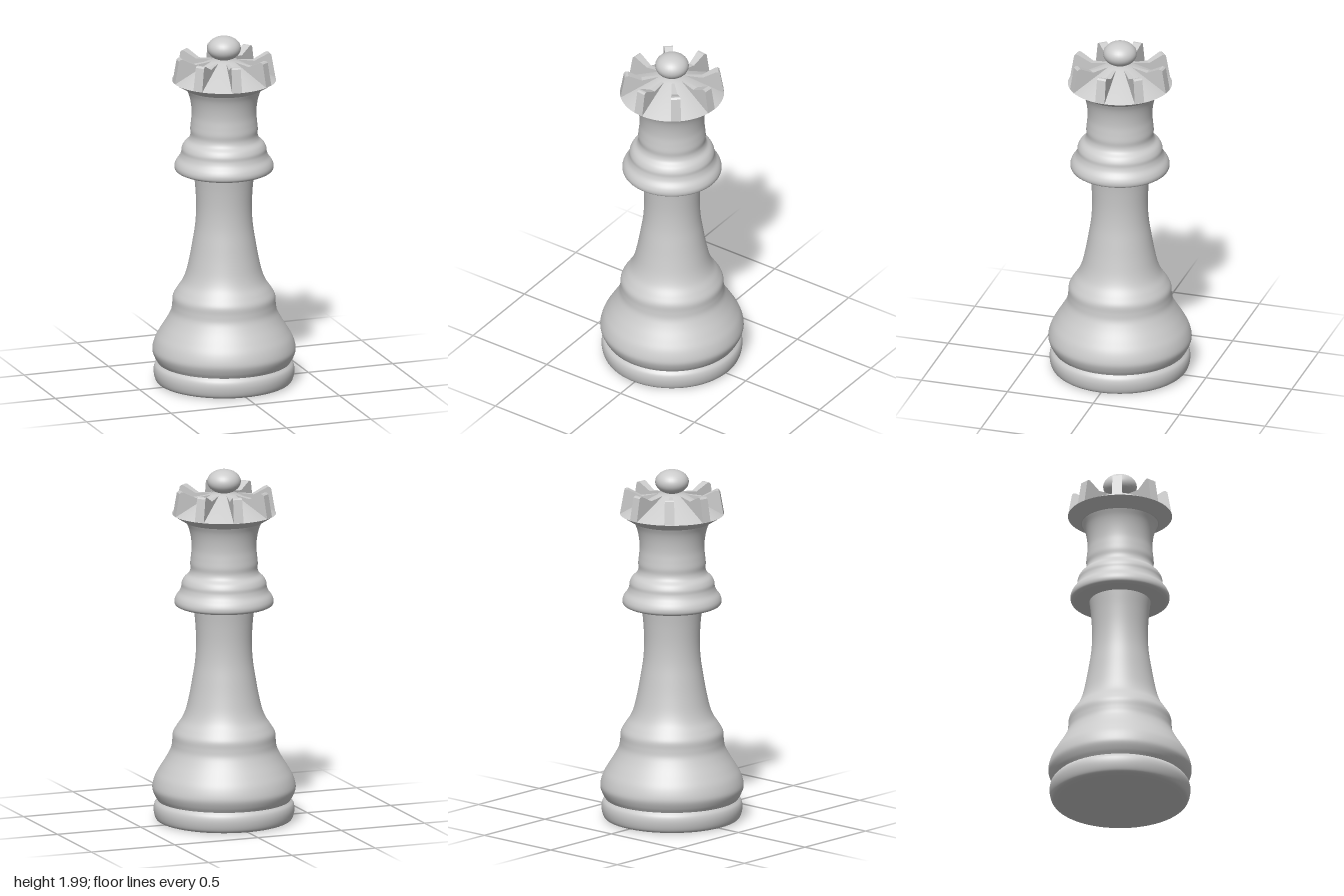
import * as THREE from 'three';

const material = new THREE.MeshStandardMaterial({ color: 0xcccccc, side: THREE.DoubleSide });
const flatMaterial = new THREE.MeshStandardMaterial({ color: 0xcccccc, side: THREE.DoubleSide, flatShading: true });

// Turned part: [radius, height] pairs from bottom to top, optionally smoothed by a spline
function turned(name, pairs, smooth = 0, mat = material) {
  let points = pairs.map(([r, y]) => new THREE.Vector2(r, y));
  if (smooth) {
    const curve = new THREE.CatmullRomCurve3(pairs.map(([r, y]) => new THREE.Vector3(r, y, 0)), false, 'centripetal');
    points = curve.getPoints(smooth).map((p) => new THREE.Vector2(Math.max(p.x, 0), p.y));
  }
  const mesh = new THREE.Mesh(new THREE.LatheGeometry(points, 64), mat);
  mesh.name = name;
  return mesh;
}

// Wedge: a radial outline swept from angle 0 to the given angle (x towards z)
function wedge(outline, angle) {
  const shape = outline.map(([r, y]) => new THREE.Vector2(r, y));
  const caps = THREE.ShapeUtils.triangulateShape(shape, []);
  const at = (i, a) => [shape[i].x * Math.cos(a), shape[i].y, shape[i].x * Math.sin(a)];
  const pos = [];
  for (const [a, b, c] of caps) {
    pos.push(...at(a, 0), ...at(c, 0), ...at(b, 0));
    pos.push(...at(a, angle), ...at(b, angle), ...at(c, angle));
  }
  // caps above are turned so both face away from the wedge
  for (let i = 0; i < pos.length; i += 9) {
    for (let k = 0; k < 3; k++) [pos[i + 3 + k], pos[i + 6 + k]] = [pos[i + 6 + k], pos[i + 3 + k]];
  }
  for (let i = 0; i < shape.length; i++) {
    const j = (i + 1) % shape.length;
    pos.push(...at(i, 0), ...at(j, 0), ...at(j, angle));
    pos.push(...at(i, 0), ...at(j, angle), ...at(i, angle));
  }
  // outline runs counter-clockwise, so the sides are flipped to face outward
  for (let i = caps.length * 18; i < pos.length; i += 9) {
    for (let k = 0; k < 3; k++) [pos[i + 3 + k], pos[i + 6 + k]] = [pos[i + 6 + k], pos[i + 3 + k]];
  }
  const geometry = new THREE.BufferGeometry();
  geometry.setAttribute('position', new THREE.Float32BufferAttribute(pos, 3));
  geometry.computeVertexNormals();
  return geometry;
}

export function createModel() {
  const model = new THREE.Group();
  model.name = 'chessQueen';

  // Foot: flat underside and rounded base ring
  model.add(turned('underside', [[0, 0.005], [0.35, 0.005]]));
  model.add(turned('baseRing', [
    [0.35, 0.005], [0.375, 0.015], [0.386, 0.035], [0.392, 0.075], [0.386, 0.105], [0.37, 0.125],
  ], 24));

  // Bell-shaped base and slender stem
  model.add(turned('stem', [
    [0.37, 0.125], [0.385, 0.15], [0.398, 0.185], [0.398, 0.21], [0.383, 0.26], [0.355, 0.31],
    [0.315, 0.375], [0.294, 0.42], [0.288, 0.46], [0.284, 0.505], [0.262, 0.545], [0.232, 0.59],
    [0.212, 0.64], [0.193, 0.72], [0.175, 0.82], [0.16, 0.92], [0.155, 1.02], [0.16, 1.13], [0.17, 1.225],
  ], 90));

  // Collar and neck
  model.add(turned('collarUnderside', [[0.16, 1.23], [0.255, 1.225]]));
  model.add(turned('collar', [
    [0.255, 1.225], [0.272, 1.235], [0.276, 1.255], [0.268, 1.28], [0.247, 1.31], [0.238, 1.335],
    [0.235, 1.36], [0.222, 1.385], [0.196, 1.41], [0.187, 1.435], [0.188, 1.47], [0.184, 1.51],
    [0.18, 1.56], [0.185, 1.62], [0.197, 1.67], [0.215, 1.71],
  ], 70));

  // Crown: flared rim below, sloping cone above
  model.add(turned('crownRim', [[0.2, 1.703], [0.218, 1.705], [0.29, 1.75]], 0, flatMaterial));
  model.add(turned('crownSlope', [[0.29, 1.75], [0.08, 1.86], [0, 1.865]]));

  // Eight radial crown points
  const point = wedge([
    [0.08, 1.8], [0.2, 1.75], [0.29, 1.75], [0.267, 1.88], [0.258, 1.888], [0.246, 1.888],
    [0.17, 1.85], [0.08, 1.862],
  ], Math.PI / 16);
  const points = new THREE.Group();
  points.name = 'crownPoints';
  for (let i = 0; i < 8; i++) {
    const mesh = new THREE.Mesh(point, flatMaterial);
    mesh.name = 'crownPoint';
    mesh.rotation.y = (i * Math.PI) / 4;
    points.add(mesh);
  }
  model.add(points);

  // Flattened ball on top
  const ball = new THREE.Mesh(new THREE.SphereGeometry(0.094, 32, 20), material);
  ball.name = 'finial';
  ball.scale.y = 0.72;
  ball.position.y = 1.932;
  model.add(ball);

  return model;
}
